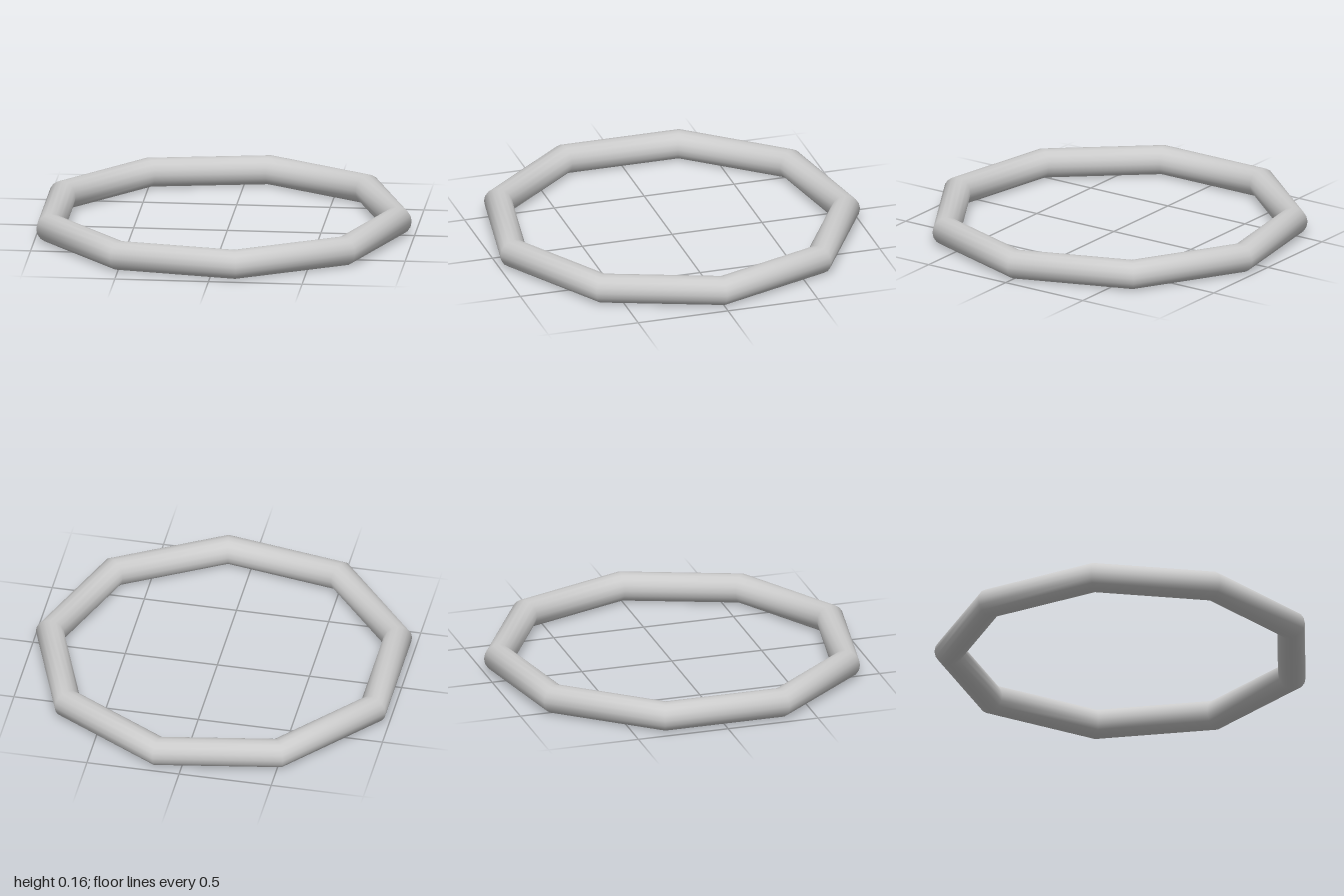
import * as THREE from 'three';

const SIDES = 9;            // straight runs around the ring
const RADIUS = 0.9375;      // centre of the ring to the tube's centre at a corner
const TUBE = 0.078;         // tube radius

export function createModel() {
  const group = new THREE.Group();
  group.name = 'nineSidedRing';

  // Smooth round tube bent into a nonagon, lying flat with one corner on +x
  const geometry = new THREE.TorusGeometry(RADIUS, TUBE, 16, SIDES);
  geometry.rotateX(-Math.PI / 2);

  // A corner faces a flat side across x, so recentre by half the difference
  const outer = RADIUS + TUBE;
  const shift = -outer * (1 - Math.cos(Math.PI / SIDES)) / 2;
  geometry.translate(shift, TUBE, 0);

  const ring = new THREE.Mesh(geometry, new THREE.MeshStandardMaterial({ color: 0xcccccc }));
  ring.name = 'ring';
  group.add(ring);
  return group;
}
